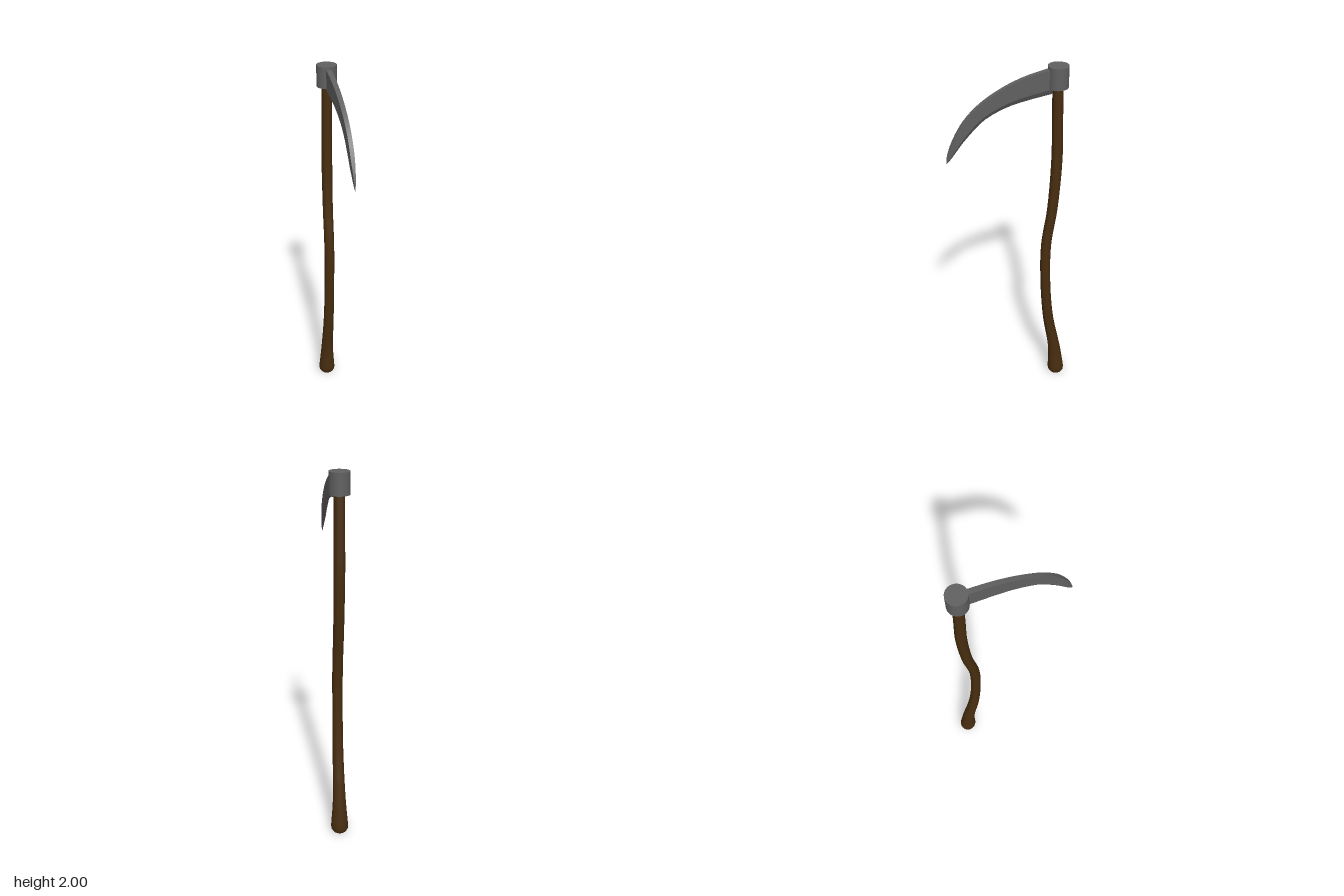
import * as THREE from 'three';
import { toCreasedNormals } from 'three/addons/utils/BufferGeometryUtils.js';

const wood = new THREE.MeshStandardMaterial({ color: 0x472d0f });
wood.name = 'dark wood';
const steel = new THREE.MeshStandardMaterial({ color: 0x606060 });
steel.name = 'grey steel';

// Round shaft: a lathe whose rows are shifted sideways along a bent centre line
function handleGeometry() {
  // [sideways shift, height, radius]
  const path = new THREE.CatmullRomCurve3([
    [-0.048, 0.04, 0.048], [-0.034, 0.2, 0.036], [0.012, 0.45, 0.030], [0.035, 0.7, 0.028],
    [0.038, 0.97, 0.028], [0.008, 1.2, 0.028], [-0.008, 1.5, 0.029], [-0.004, 1.7, 0.028], [0.002, 1.95, 0.027],
  ].map((p) => new THREE.Vector3(...p)));
  const rows = [
    [-0.05, 0, 0], [-0.05, 0.002, 0.022], [-0.05, 0.011, 0.038], [-0.049, 0.024, 0.046],
  ].map((p) => new THREE.Vector3(...p)).concat(path.getPoints(40));
  const geo = new THREE.LatheGeometry(rows.map((p) => new THREE.Vector2(p.z, p.y)), 20);
  const pos = geo.attributes.position;
  for (let i = 0; i < pos.count; i++) pos.setX(i, pos.getX(i) + rows[i % rows.length].x);
  return toCreasedNormals(geo, 0.9);
}

// Curved blade: five-sided section with a flat spine and a bevelled lower edge
function bladeGeometry() {
  const curve = (pts) => new THREE.SplineCurve(pts.map((p) => new THREE.Vector2(...p)));
  const spine = curve([[0.03, 1.99], [0.164, 1.963], [0.278, 1.923], [0.392, 1.86],
    [0.48, 1.78], [0.54, 1.685], [0.57, 1.61], [0.577, 1.565]]);
  const edge = curve([[0.03, 1.858], [0.15, 1.843], [0.265, 1.82], [0.379, 1.77],
    [0.467, 1.69], [0.515, 1.635], [0.551, 1.59], [0.577, 1.565]]);
  const n = 24, verts = [], index = [];
  for (let i = 0; i <= n; i++) {
    const t = i / n;
    const a = spine.getPoint(t), b = edge.getPoint(t), m = a.clone().lerp(b, 0.78);
    const h = 0.0135 * (1 - 0.35 * t) * Math.min(1, (1 - t) * 3 + 0.03);
    verts.push(a.x, a.y, h, a.x, a.y, -h, m.x, m.y, -h, b.x, b.y, 0, m.x, m.y, h);
  }
  for (let i = 0; i < n; i++) {
    for (let j = 0; j < 5; j++) {
      const p = i * 5 + j, q = i * 5 + (j + 1) % 5;
      index.push(p, p + 5, q, q, p + 5, q + 5);
    }
  }
  // Closed root
  index.push(0, 1, 2, 0, 2, 4, 4, 2, 3);
  const geo = new THREE.BufferGeometry();
  geo.setAttribute('position', new THREE.Float32BufferAttribute(verts, 3));
  geo.setIndex(index);
  return toCreasedNormals(geo, 0.4);
}

export function createModel() {
  const model = new THREE.Group();
  model.name = 'scythe';
  const add = (name, geo, mat) => {
    const mesh = new THREE.Mesh(geo, mat);
    mesh.name = name;
    model.add(mesh);
    return mesh;
  };
  add('handle', handleGeometry(), wood);
  add('blade', bladeGeometry(), steel);
  add('collar', new THREE.CylinderGeometry(0.052, 0.052, 0.11, 32), steel).position.y = 1.945;

  // The blade points diagonally forward
  model.position.set(-0.14, 0, -0.185);
  model.rotation.y = -0.908;
  return model;
}
